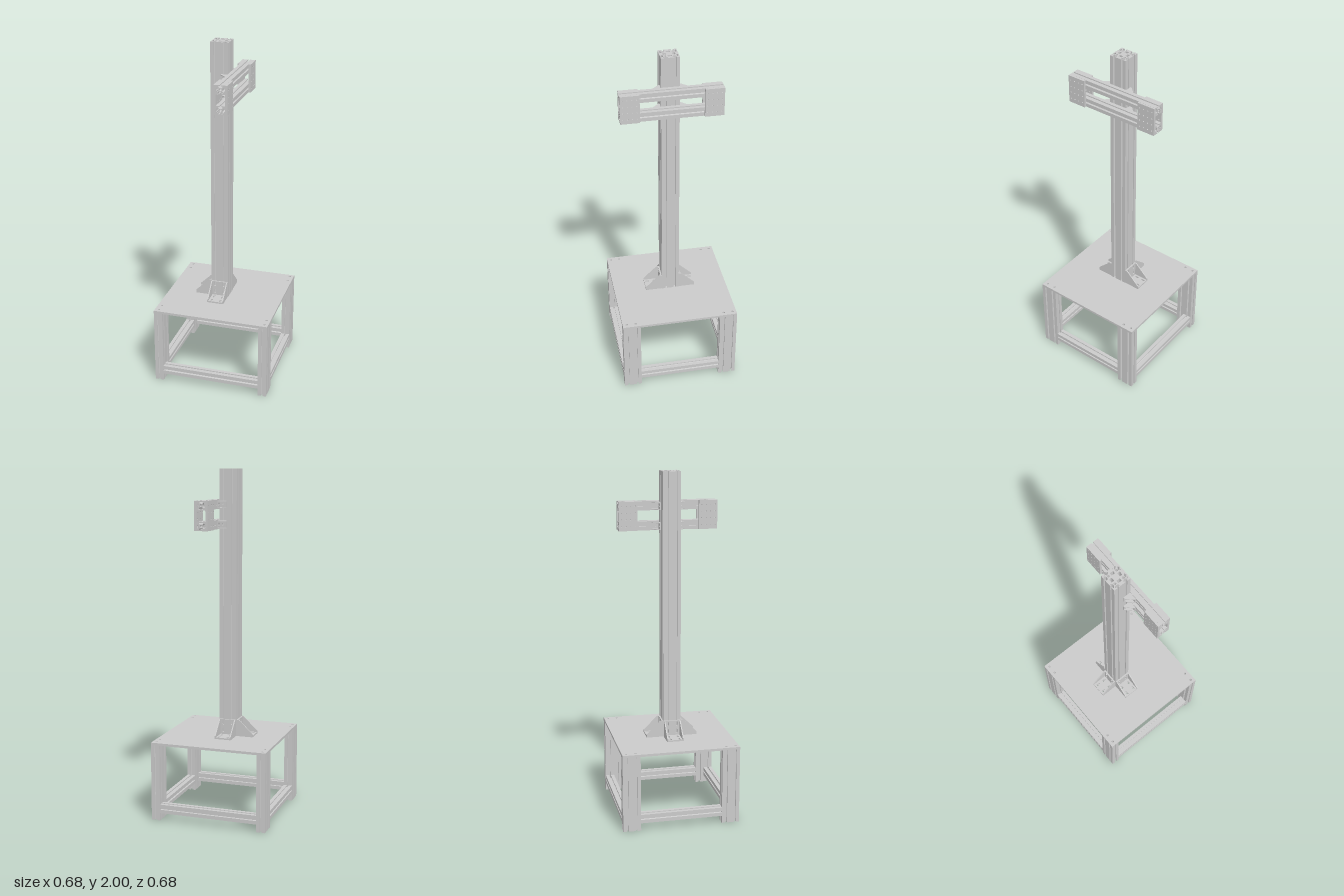
import * as THREE from 'three';

const U = 0.0515;                       // one cell of the slotted profile
const V = (x, y, z) => new THREE.Vector3(x, y, z);
const material = new THREE.MeshStandardMaterial({ color: 0xcccccc, side: THREE.DoubleSide });

function add(parent, name, geometry, x = 0, y = 0, z = 0) {
  const mesh = new THREE.Mesh(geometry, material);
  mesh.name = name;
  mesh.position.set(x, y, z);
  parent.add(mesh);
  return mesh;
}

const extrude = (shape, depth) =>
  new THREE.ExtrudeGeometry(shape, { depth, bevelEnabled: false, curveSegments: 8 });

function circle(x, y, r) {
  return new THREE.Path().absarc(x, y, r, 0, Math.PI * 2, true);
}

function rectangle(w, h, x = 0, y = 0, Type = THREE.Path) {
  return new Type([[-1, -1], [1, -1], [1, 1], [-1, 1]]
    .map(([a, b]) => new THREE.Vector2(x + a * w / 2, y + b * h / 2)));
}

// Slot with rounded ends, long in y
function slot(x, y, w, h) {
  const p = new THREE.Path(), s = (h - w) / 2;
  p.absarc(x, y + s, w / 2, 0, Math.PI, false);
  p.absarc(x, y - s, w / 2, Math.PI, Math.PI * 2, false);
  p.closePath();
  return p;
}

// T-slot extrusion of nx by ny cells, centred, running along z
function profile(nx, ny, length) {
  const notch = [[-0.1, 0], [-0.1, 0.11], [-0.25, 0.11], [-0.25, 0.17], [-0.12, 0.31],
    [0.12, 0.31], [0.25, 0.17], [0.25, 0.11], [0.1, 0.11], [0.1, 0]];
  const pts = [];
  const corners = [[-1, -1, 1, 0, nx], [1, -1, 0, 1, ny], [1, 1, -1, 0, nx], [-1, 1, 0, -1, ny]];
  for (const [cx, cy, dx, dy, n] of corners) {
    const x0 = cx * nx / 2, y0 = cy * ny / 2;
    pts.push(new THREE.Vector2(x0 * U, y0 * U));
    for (let i = 0; i < n; i++) {
      for (const [a, b] of notch) {
        const t = i + 0.5 + a;
        pts.push(new THREE.Vector2((x0 + dx * t - dy * b) * U, (y0 + dy * t + dx * b) * U));
      }
    }
  }
  const shape = new THREE.Shape(pts);
  for (let i = 0; i < nx; i++) {
    for (let j = 0; j < ny; j++) {
      const x = (i - (nx - 1) / 2) * U, y = (j - (ny - 1) / 2) * U;
      shape.holes.push(circle(x, y, 0.13 * U));
      // hollow chambers between neighbouring cells
      if (i < nx - 1) shape.holes.push(rectangle(0.4 * U, 0.3 * U, x + U / 2, y));
      if (j < ny - 1) shape.holes.push(rectangle(0.3 * U, 0.4 * U, x, y + U / 2));
    }
  }
  return extrude(shape, length).translate(0, 0, -length / 2);
}

// Gusseted angle bracket: wall at x = 0, base at y = 0, width along z
function bracket(name, size, width, thick, holes, slotSize) {
  const group = new THREE.Group();
  group.name = name;
  const flange = rectangle(width, size, 0, size / 2, THREE.Shape);
  for (const [x, y] of holes) flange.holes.push(slot(x, y, ...slotSize));
  const wall = extrude(flange, thick).rotateY(Math.PI / 2);
  add(group, 'bracketWall', wall);
  const base = extrude(flange, thick)
    .applyMatrix4(new THREE.Matrix4().makeBasis(V(0, 0, 1), V(1, 0, 0), V(0, 1, 0)));
  add(group, 'bracketBase', base);
  const web = new THREE.Shape([[0, 0], [size, 0], [size, size * 0.18], [size * 0.15, size], [0, size]]
    .map(p => new THREE.Vector2(...p)));
  for (const s of [-1, 1]) {
    add(group, 'bracketGusset', extrude(web, thick * 0.7), 0, 0,
      s > 0 ? width / 2 - thick * 0.7 : -width / 2);
  }
  return group;
}

function place(parent, object, position, xAxis, yAxis) {
  const m = new THREE.Matrix4().makeBasis(xAxis, yAxis, xAxis.clone().cross(yAxis));
  object.quaternion.setFromRotationMatrix(m);
  object.position.copy(position);
  parent.add(object);
}

export function createModel() {
  const model = new THREE.Group();
  model.name = 'stand';
  const half = 0.341, plateY = 0.446, deck = 0.46, postX = -0.026;
  const legX = half - U / 2, legZ = half - U;

  // Legs, two cells deep
  const leg = profile(1, 2, plateY).rotateX(-Math.PI / 2);
  for (const sx of [-1, 1]) for (const sz of [-1, 1]) add(model, 'leg', leg, sx * legX, plateY / 2, sz * legZ);

  // Lower rails between the legs
  const crossRail = profile(1, 1, 2 * (half - U)).rotateY(Math.PI / 2);
  const sideRail = profile(1, 1, 2 * (half - 2 * U));
  for (const s of [-1, 1]) {
    add(model, 'crossRail', crossRail, 0, 0.07, s * legX);
    add(model, 'sideRail', sideRail, s * legX, 0.07, 0);
  }

  // Table plate with bolt holes over the legs and under the brackets
  const plate = rectangle(2 * half, 2 * half, 0, 0, THREE.Shape);
  for (const s of [-1, 1]) {
    for (const z of [0.317, 0.265]) for (const t of [-1, 1]) plate.holes.push(circle(s * 0.317, t * z, 0.007));
    for (const d of [0.034, 0.079]) {
      plate.holes.push(circle(postX - U - d, s * U / 2, 0.005));
      for (const t of [-1, 1]) plate.holes.push(circle(postX + t * U / 2, s * (U + d), 0.005));
    }
  }
  add(model, 'tablePlate', extrude(plate, deck - plateY).rotateX(-Math.PI / 2), 0, plateY, 0);

  // Post of two by two cells
  add(model, 'post', profile(2, 2, 2 - deck).rotateX(-Math.PI / 2), postX, (2 + deck) / 2, 0);

  // Large brackets at the foot of the post
  const up = V(0, 1, 0);
  const footHoles = [-1, 1].flatMap(s => [0.034, 0.079].map(d => [s * U / 2, d]));
  for (const dir of [V(-1, 0, 0), V(0, 0, 1), V(0, 0, -1)]) {
    const foot = bracket('footBracket', 0.098, 0.098, 0.009, footHoles, [0.011, 0.026]);
    place(model, foot, V(postX, deck, 0).addScaledVector(dir, U), dir, up);
  }

  // Arm: two rails on the post, tied by small brackets
  const arm = new THREE.Group();
  arm.name = 'arm';
  model.add(arm);
  const railX = postX + U * 1.5, railYs = [1.69, 1.803], armHalf = 0.285;
  const armRail = profile(1, 1, 2 * armHalf);
  for (const y of railYs) {
    add(arm, 'armRail', armRail, railX, y, 0);
    for (const s of [-1, 1]) {
      const small = bracket('armBracket', 0.045, 0.042, 0.006, [[0, 0.025]], [0.01, 0.018]);
      place(arm, small, V(postX + U, y, s * U), V(0, 0, s), V(-1, 0, 0));
    }
  }

  // Drilled end plates on both faces of the arm
  const height = 0.164, width = 0.107, thick = 0.013;
  const endPlate = rectangle(width, height, 0, 0, THREE.Shape);
  for (let i = 0; i < 4; i++) {
    for (const y of [-0.0565, -0.018, 0.018, 0.0565]) {
      endPlate.holes.push(circle((i - 1.5) * 0.026, y, 0.0035));
    }
  }
  const endGeometry = extrude(endPlate, thick).translate(0, 0, -thick / 2).rotateY(Math.PI / 2);
  for (const sx of [-1, 1]) {
    for (const sz of [-1, 1]) {
      add(arm, 'armEndPlate', endGeometry, railX + sx * (U + thick) / 2, 1.7465, sz * (armHalf - width / 2));
    }
  }
  return model;
}
